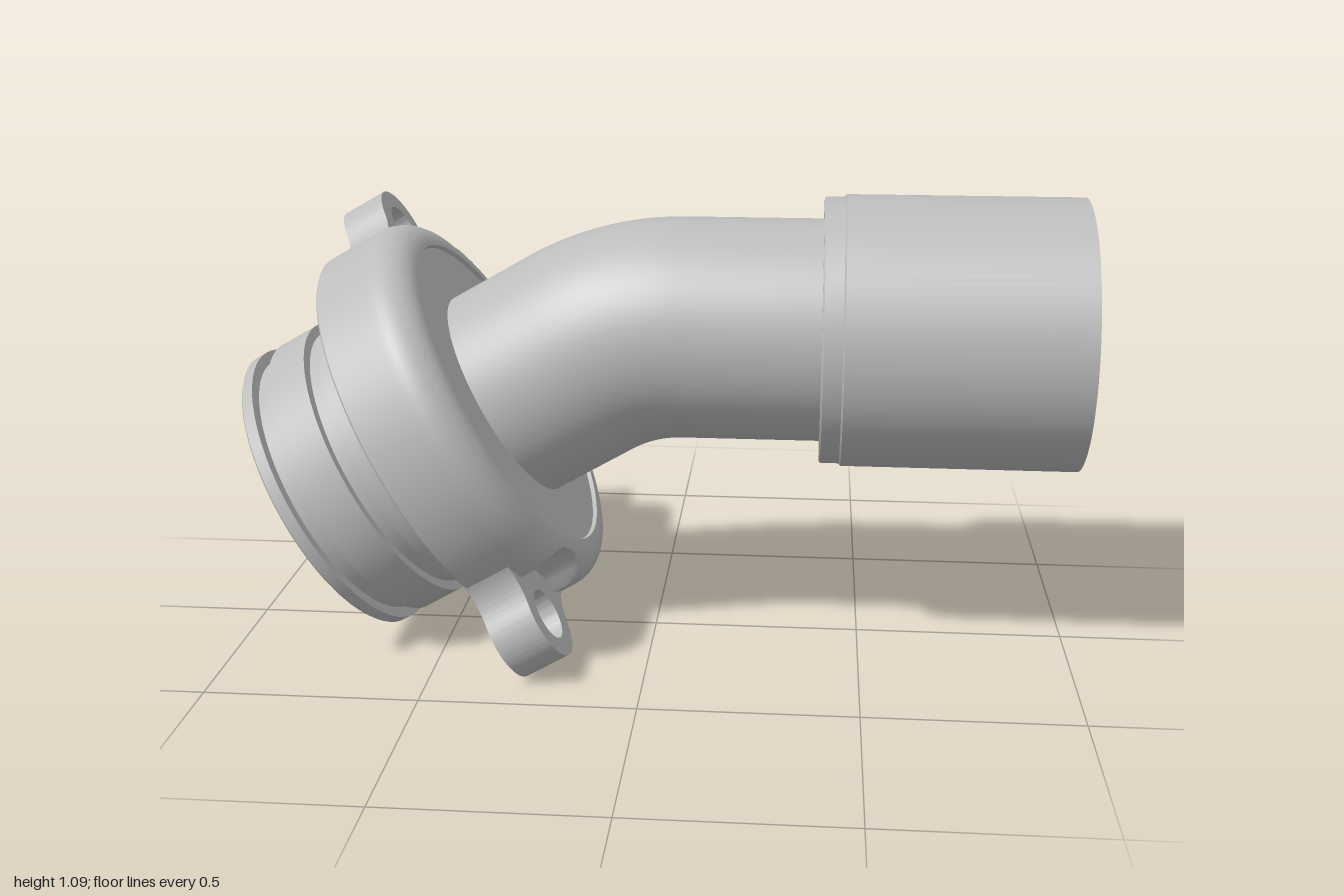
import * as THREE from 'three';
import { toCreasedNormals } from 'three/addons/utils/BufferGeometryUtils.js';

const AXIS_Y = 0.77;        // height of the straight pipe axis
const LUG_X = 0.453, LUG_Z = 0.324;
const LUG_D = Math.hypot(LUG_X, LUG_Z);
const LUG_ANGLE = Math.atan2(LUG_Z, LUG_X);
const LUG_LOW = 0.3, LUG_TOP = 0.415;

export function createModel() {
  const group = new THREE.Group();
  group.name = 'pipeElbow';
  const grey = new THREE.MeshStandardMaterial({ color: 0xbcbcbc, side: THREE.DoubleSide });
  grey.name = 'plain grey';

  const add = (parent, name, geometry) => {
    const mesh = new THREE.Mesh(geometry, grey);
    mesh.name = name;
    parent.add(mesh);
    return mesh;
  };
  const lathe = (points, segments = 96) =>
    new THREE.LatheGeometry(points.map(([r, y]) => new THREE.Vector2(r, y)), segments);
  const crease = (g, angle = 0.5) => toCreasedNormals(g, angle);

  // Tilted flange assembly: local y runs along the lower pipe axis
  const flange = new THREE.Group();
  flange.name = 'flangeAssembly';
  flange.position.set(-0.81, 0.34, 0);
  flange.rotation.z = -Math.PI / 3;
  group.add(flange);

  // Spigot with two seal grooves and an open bore
  add(flange, 'spigot', crease(lathe([
    [0.222, 0.45], [0.315, 0.4], [0.315, 0.012], [0.327, 0], [0.368, 0], [0.373, 0.005],
    [0.373, 0.033], [0.346, 0.033], [0.346, 0.077], [0.37, 0.077], [0.37, 0.18],
    [0.346, 0.18], [0.346, 0.222], [0.37, 0.222], [0.37, 0.46],
  ])));

  // Collar: hollow at the back, rounded at the front edge
  const profile = [[0.36, 0.45], [0.43, 0.45], [0.43, 0.305], [0.435, 0.3], [0.485, 0.3],
    [0.49, 0.305], [0.49, LUG_TOP], [0.49, LUG_TOP + 0.0005], [0.49, 0.435]];
  const fillet = 0.08;
  for (let i = 0; i <= 12; i++) {
    const a = (i / 12) * Math.PI / 2;
    profile.push([0.49 - fillet + fillet * Math.cos(a), 0.445 + fillet * Math.sin(a)]);
  }
  profile.push([0.403, 0.525], [0.4, 0.515], [0.255, 0.515]);
  const collar = lathe(profile, 240);

  // Scoop clearance pockets above the lugs out of the collar rim
  const pocket = 0.12, pos = collar.attributes.position;
  for (let i = 0; i < pos.count; i++) {
    const x = pos.getX(i), y = pos.getY(i), z = pos.getZ(i);
    if (y < LUG_TOP + 0.0003) continue;
    const delta = Math.atan2(z, x) - LUG_ANGLE;
    const side = Math.abs(LUG_D * Math.sin(delta));
    if (side >= pocket) continue;
    const limit = LUG_D * Math.abs(Math.cos(delta)) - Math.sqrt(pocket ** 2 - side ** 2);
    const r = Math.hypot(x, z);
    if (r > limit) pos.setXYZ(i, x * limit / r, y, z * limit / r);
  }
  add(flange, 'collar', crease(collar));

  // Two opposite bolt lugs with flared roots
  const shape = new THREE.Shape();
  shape.moveTo(0.455, -0.165);
  shape.quadraticCurveTo(0.495, -0.107, LUG_D, -0.107);
  shape.absarc(LUG_D, 0, 0.107, -Math.PI / 2, Math.PI / 2, false);
  shape.quadraticCurveTo(0.495, 0.107, 0.455, 0.165);
  shape.closePath();
  const hole = new THREE.Path();
  hole.absarc(LUG_D, 0, 0.062, 0, Math.PI * 2, true);
  shape.holes.push(hole);
  const lugGeometry = crease(new THREE.ExtrudeGeometry(shape, {
    depth: LUG_TOP - LUG_LOW, bevelEnabled: false, curveSegments: 28,
  }).rotateX(-Math.PI / 2).translate(0, LUG_LOW, 0));
  [0, Math.PI].forEach((turn, i) => {
    add(flange, i ? 'upperLug' : 'lowerLug', lugGeometry).rotation.y = turn - LUG_ANGLE;
  });

  // Bent pipe: outer wall and bore follow the same path
  const corner = new THREE.Vector3(-0.065, AXIS_Y, 0);
  const down = new THREE.Vector3(-Math.cos(Math.PI / 6), -0.5, 0);
  const bendEnd = corner.clone().addScaledVector(down, 0.135);
  const bendStart = new THREE.Vector3(0.07, AXIS_Y, 0);
  const path = new THREE.CurvePath();
  path.add(new THREE.LineCurve3(corner.clone().addScaledVector(down, 0.41), bendEnd));
  path.add(new THREE.QuadraticBezierCurve3(bendEnd, corner, bendStart));
  path.add(new THREE.LineCurve3(bendStart, new THREE.Vector3(0.955, AXIS_Y, 0)));
  add(group, 'pipeWall', new THREE.TubeGeometry(path, 120, 0.264, 72));
  add(group, 'pipeBore', new THREE.TubeGeometry(path, 120, 0.222, 72));

  // Straight end: sleeve around the pipe and the rounded pipe lip
  const socket = new THREE.Group();
  socket.name = 'socketEnd';
  socket.position.y = AXIS_Y;
  socket.rotation.z = -Math.PI / 2;
  group.add(socket);
  add(socket, 'sleeve', crease(lathe([
    [0.26, 0.395], [0.312, 0.395], [0.316, 0.399], [0.316, 0.442], [0.322, 0.446],
    [0.322, 1], [0.315, 1], [0.303, 0.985], [0.303, 0.8], [0.26, 0.8],
  ])));
  add(socket, 'pipeLip', crease(lathe([
    [0.264, 0.955], [0.26, 0.965], [0.251, 0.97], [0.238, 0.97], [0.227, 0.965], [0.222, 0.955],
  ]), 0.8));

  return group;
}
